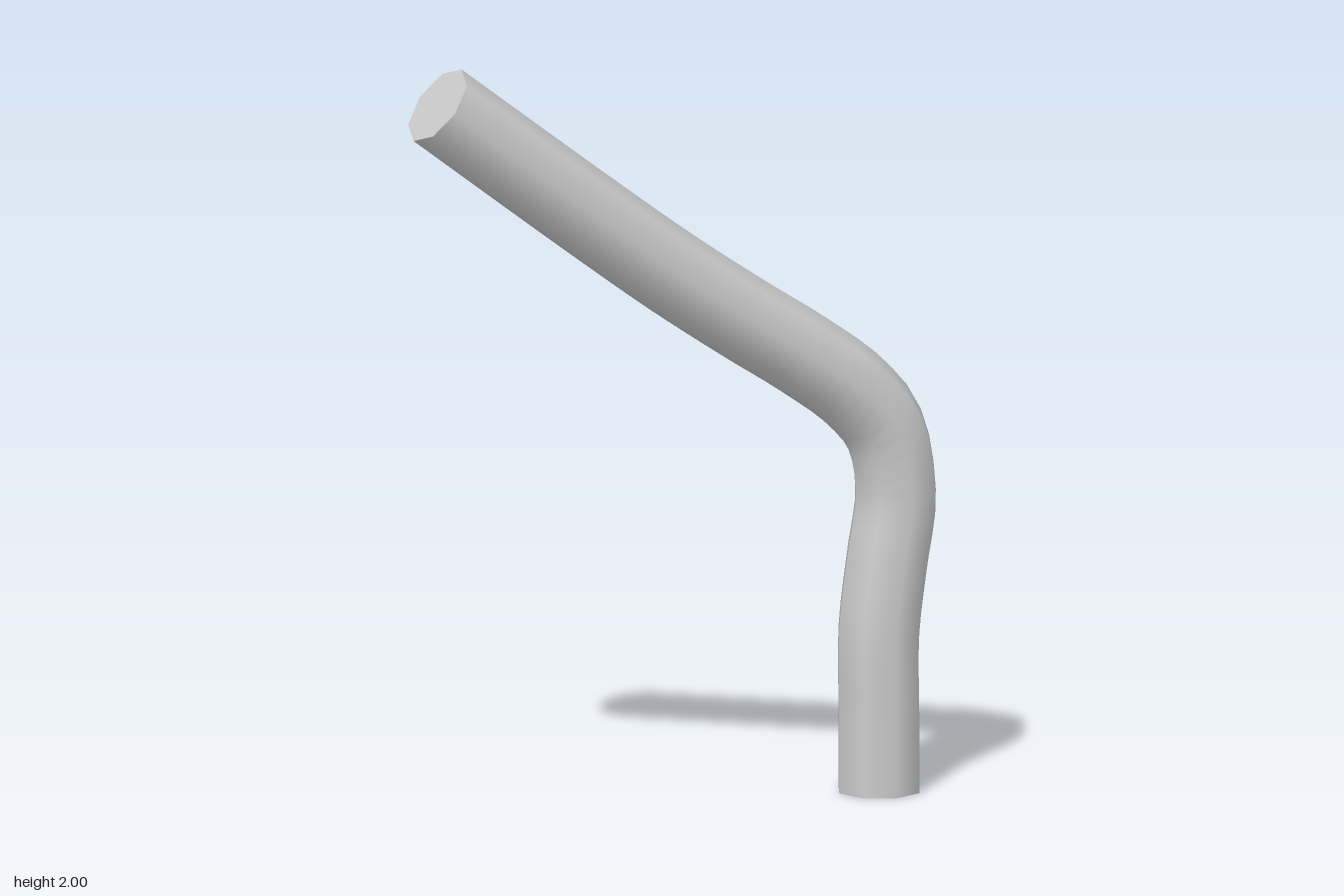
import * as THREE from 'three';

const RADIUS = 0.111;
const SIDES = 8;

// Centre line of the pipe in the x-y plane, from the foot to the upper end
const PATH = [
  [0.573, 0], [0.573, 0.2], [0.573, 0.42], [0.595, 0.6], [0.62, 0.78],
  [0.588, 0.95], [0.505, 1.055], [0.36, 1.165], [0.2, 1.27],
  [0, 1.407], [-0.2, 1.555], [-0.43, 1.73], [-0.667, 1.912],
];

export function createModel() {
  const group = new THREE.Group();
  group.name = 'bentPipe';
  const material = new THREE.MeshStandardMaterial({ color: 0xcccccc });

  const curve = new THREE.CatmullRomCurve3(PATH.map(([x, y]) => new THREE.Vector3(x, y, 0)));

  // Eight-sided pipe with smooth shading
  const pipe = new THREE.Mesh(new THREE.TubeGeometry(curve, 48, RADIUS, SIDES), material);
  pipe.name = 'pipe';
  group.add(pipe);

  // Flat caps, each facing out along the pipe
  const addCap = (name, t, sign) => {
    const cap = new THREE.Mesh(new THREE.CircleGeometry(RADIUS, SIDES), material);
    cap.name = name;
    cap.geometry.rotateX(-Math.PI / 2 * sign);
    const dir = curve.getTangentAt(t);
    cap.rotation.z = Math.atan2(-dir.x, dir.y);
    cap.position.copy(curve.getPointAt(t));
    group.add(cap);
  };
  addCap('footCap', 0, -1);
  addCap('upperCap', 1, 1);

  return group;
}
